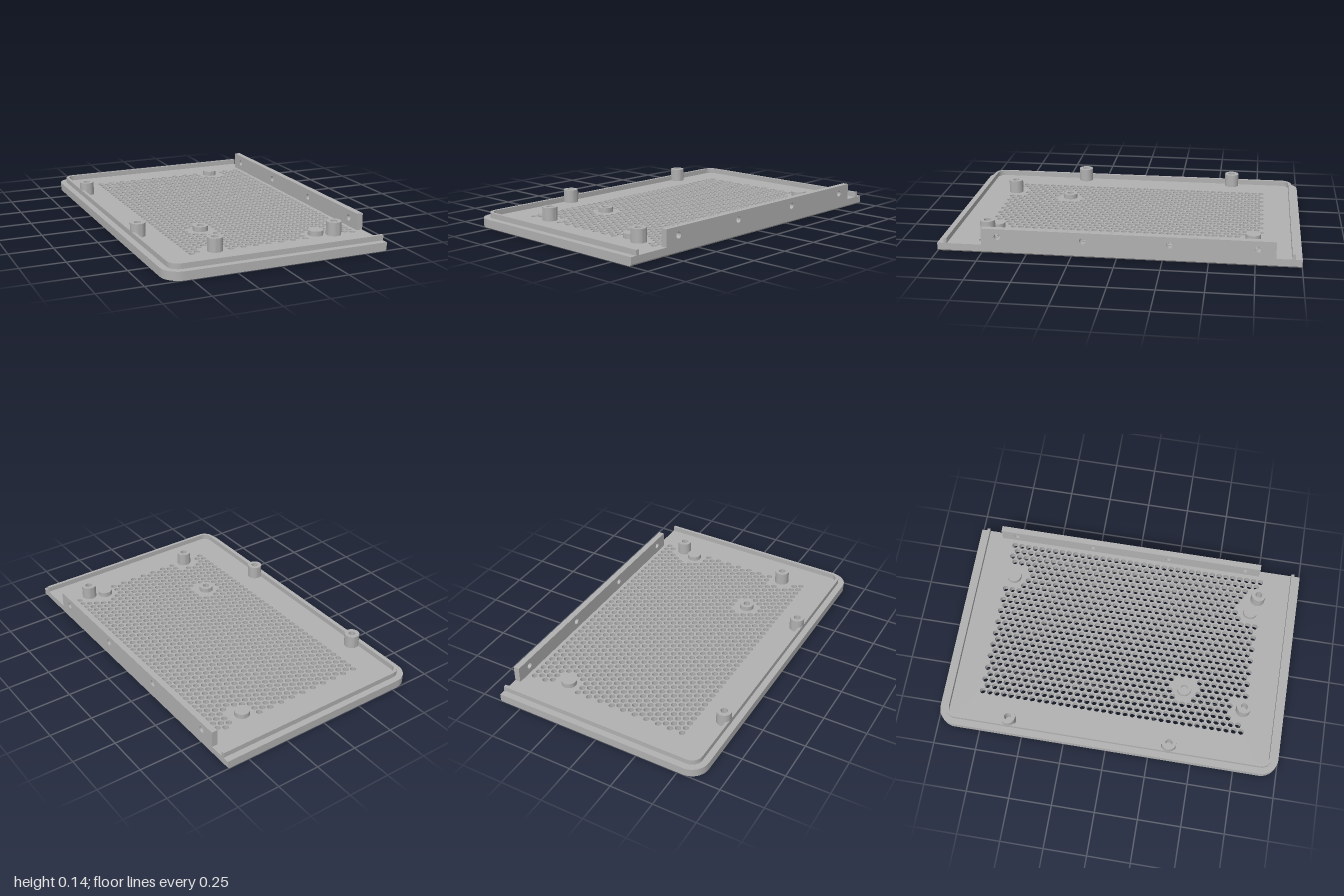
import * as THREE from 'three';
import { toCreasedNormals } from 'three/addons/utils/BufferGeometryUtils.js';

const X = 0.633, Z = 1, FLOOR = 0.048, LIP_TOP = 0.078, CORNER = 0.1;

// Tall posts, short post and solid pads: x, z, top height, bore radius
const POSTS = [
  ['tallPost', -0.555, -0.585, 0.125, 0.02],
  ['tallPost', -0.555, 0.36, 0.125, 0.02],
  ['tallPost', -0.27, 0.76, 0.125, 0.02],
  ['tallPost', 0.443, 0.76, 0.125, 0.02],
  ['shortPost', -0.2, 0.4, 0.076, 0.02],
  ['pad', 0.35, -0.735, 0.076, 0],
  ['pad', 0.35, 0.725, 0.076, 0],
];

// Outline points inset by d: open on the right, rounded corners on the left
function outline(d, right) {
  const r = CORNER - d, pts = [new THREE.Vector2(right, -Z + d)];
  const cx = -X + CORNER, cy = Z - CORNER;
  const arc = (y, start) => {
    for (let i = 0; i <= 10; i++) {
      const a = start - (i / 10) * Math.PI / 2;
      pts.push(new THREE.Vector2(cx + r * Math.cos(a), y + r * Math.sin(a)));
    }
  };
  arc(-cy, 1.5 * Math.PI);
  arc(cy, Math.PI);
  pts.push(new THREE.Vector2(right, Z - d));
  return pts;
}

function circle(x, y, r, segments) {
  const pts = [];
  for (let i = 0; i < segments; i++) {
    const a = (i / segments) * Math.PI * 2;
    pts.push(new THREE.Vector2(x + r * Math.cos(a), y + r * Math.sin(a)));
  }
  return new THREE.Path(pts);
}

// Extrude a plan shape (x, -z) upward from y0 to y1
function extrudeUp(shape, y0, y1) {
  const g = new THREE.ExtrudeGeometry(shape, { depth: y1 - y0, bevelEnabled: false });
  return g.rotateX(-Math.PI / 2).translate(0, y0, 0);
}

export function createModel() {
  const group = new THREE.Group();
  const grey = new THREE.MeshStandardMaterial({ color: 0xb0b0b0 });
  grey.name = 'grey';
  const add = (name, geometry) => {
    const mesh = new THREE.Mesh(geometry, grey);
    mesh.name = name;
    group.add(mesh);
    return mesh;
  };

  // Base plate with a staggered vent grid that leaves room around the posts
  const edge = X - 0.02;
  const plate = new THREE.Shape(outline(0, edge));
  const stepX = 0.03705, stepZ = 1.54 / 36;
  for (let c = 0; c < 27; c++) {
    const odd = c % 2;
    for (let r = 0; r < 37 - odd; r++) {
      const x = -0.403 + c * stepX, z = -0.775 + (r + odd / 2) * stepZ;
      if (POSTS.some(([, px, pz]) => Math.hypot(x - px, z - pz) < 0.08)) continue;
      plate.holes.push(circle(x, -z, 0.0172, 12));
    }
  }
  add('ventedPlate', toCreasedNormals(extrudeUp(plate, 0, FLOOR), 0.7));

  // Right edge of the plate with a small chamfer underneath
  const strip = new THREE.Shape([
    [edge, 0], [X - 0.008, 0], [X, 0.009], [X, FLOOR], [edge, FLOOR],
  ].map(([x, y]) => new THREE.Vector2(x, y)));
  add('chamferedEdge', new THREE.ExtrudeGeometry(strip, { depth: 2 * Z, bevelEnabled: false })
    .translate(0, 0, -Z));

  // Thin raised lip around three sides
  const lip = new THREE.Shape([...outline(0.037, X), ...outline(0.055, X).reverse()]);
  add('lip', toCreasedNormals(extrudeUp(lip, FLOOR, LIP_TOP), 0.5));

  // Upright flange with four screw holes
  const flange = new THREE.Shape([
    [-0.75, FLOOR], [0.86, FLOOR], [0.86, 0.143], [-0.75, 0.143],
  ].map(([x, y]) => new THREE.Vector2(x, y)));
  for (let i = 0; i < 4; i++) flange.holes.push(circle(-0.66 + i * 0.475, 0.097, 0.018, 24));
  add('flange', toCreasedNormals(
    new THREE.ExtrudeGeometry(flange, { depth: 0.035, bevelEnabled: false })
      .rotateY(Math.PI / 2).translate(X - 0.035, 0, 0), 0.5));

  // Screw posts and solid pads
  for (const [name, x, z, top, bore] of POSTS) {
    const h = top - FLOOR;
    const profile = [[0.0425, 0], [0.0425, h], [bore, h]];
    if (bore) profile.push([bore, 0]);
    const g = new THREE.LatheGeometry(profile.map(([r, y]) => new THREE.Vector2(r, y)), 32);
    add(name, toCreasedNormals(g, 0.5)).position.set(x, FLOOR, z);
  }
  return group;
}
